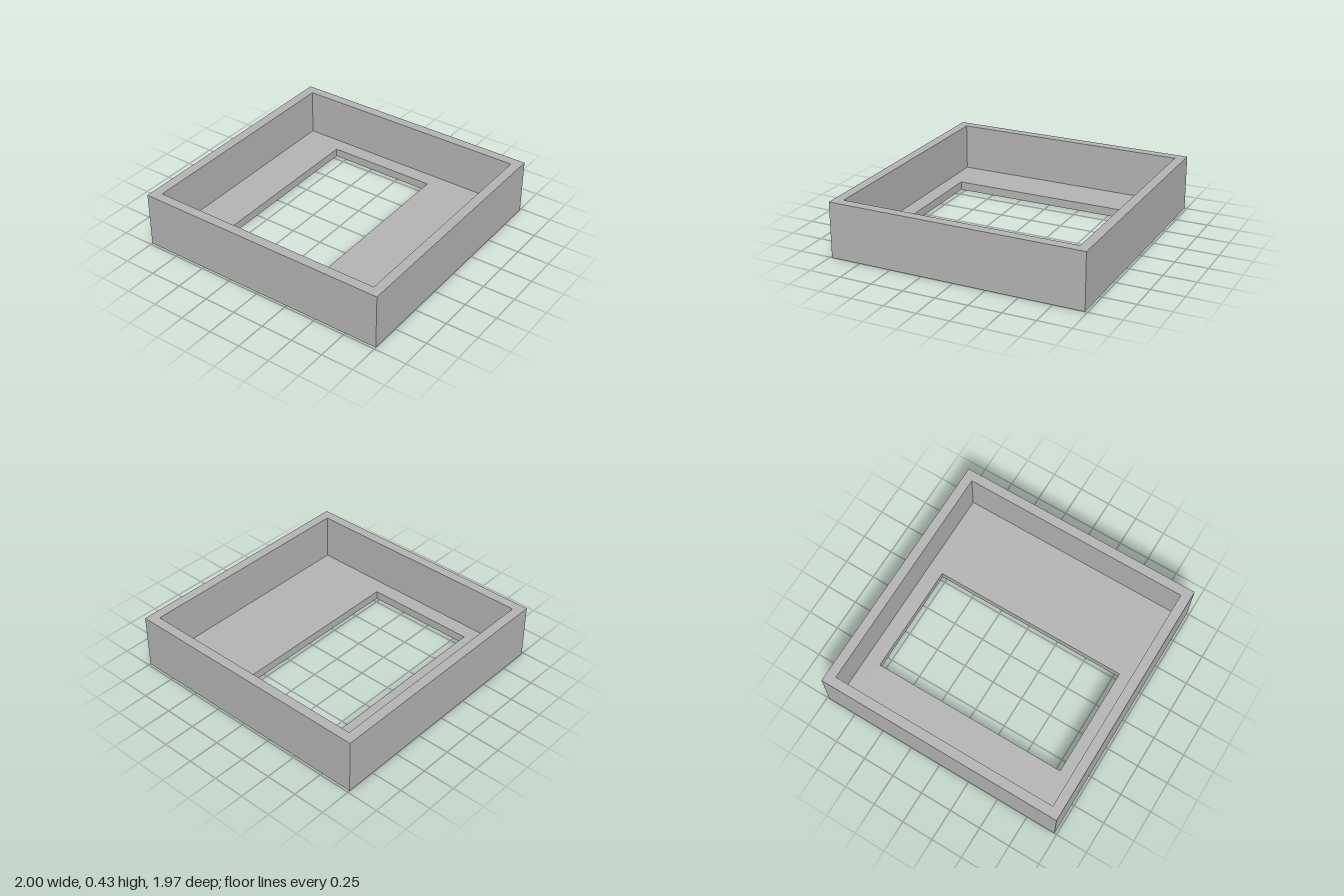
import * as THREE from 'three';

const WIDTH = 2, DEPTH = 1.965, HEIGHT = 0.43, WALL = 0.075, FLOOR = 0.066;

// Corner points of a rectangle in plan
function rectPoints(x0, x1, z0, z1) {
  return [[x0, z0], [x1, z0], [x1, z1], [x0, z1]].map(([x, z]) => new THREE.Vector2(x, z));
}

// Flat-lying frame: outer rectangle with a rectangular opening, from y0 up to y1
function frame(name, outer, opening, y0, y1, material) {
  const shape = new THREE.Shape(rectPoints(...outer));
  shape.holes.push(new THREE.Path(rectPoints(...opening).reverse()));
  const geometry = new THREE.ExtrudeGeometry(shape, { depth: y1 - y0, bevelEnabled: false });
  geometry.rotateX(-Math.PI / 2).translate(0, y0, 0);
  const mesh = new THREE.Mesh(geometry, material);
  mesh.name = name;
  return mesh;
}

export function createModel() {
  const group = new THREE.Group();
  group.name = 'openTray';
  const grey = new THREE.MeshStandardMaterial({ color: 0xb2b2b2 });
  grey.name = 'grey';

  const x = WIDTH / 2, z = DEPTH / 2;
  const outer = [-x, x, -z, z];
  const inner = [-x + WALL, x - WALL, -z + WALL, z - WALL];
  const windowOpening = [-0.595, 0.28, -0.788, 0.788];

  // Floor with its off-centre window, then the four walls as one ring
  group.add(frame('floor', outer, windowOpening, 0, FLOOR, grey));
  group.add(frame('walls', outer, inner, FLOOR, HEIGHT, grey));
  return group;
}
